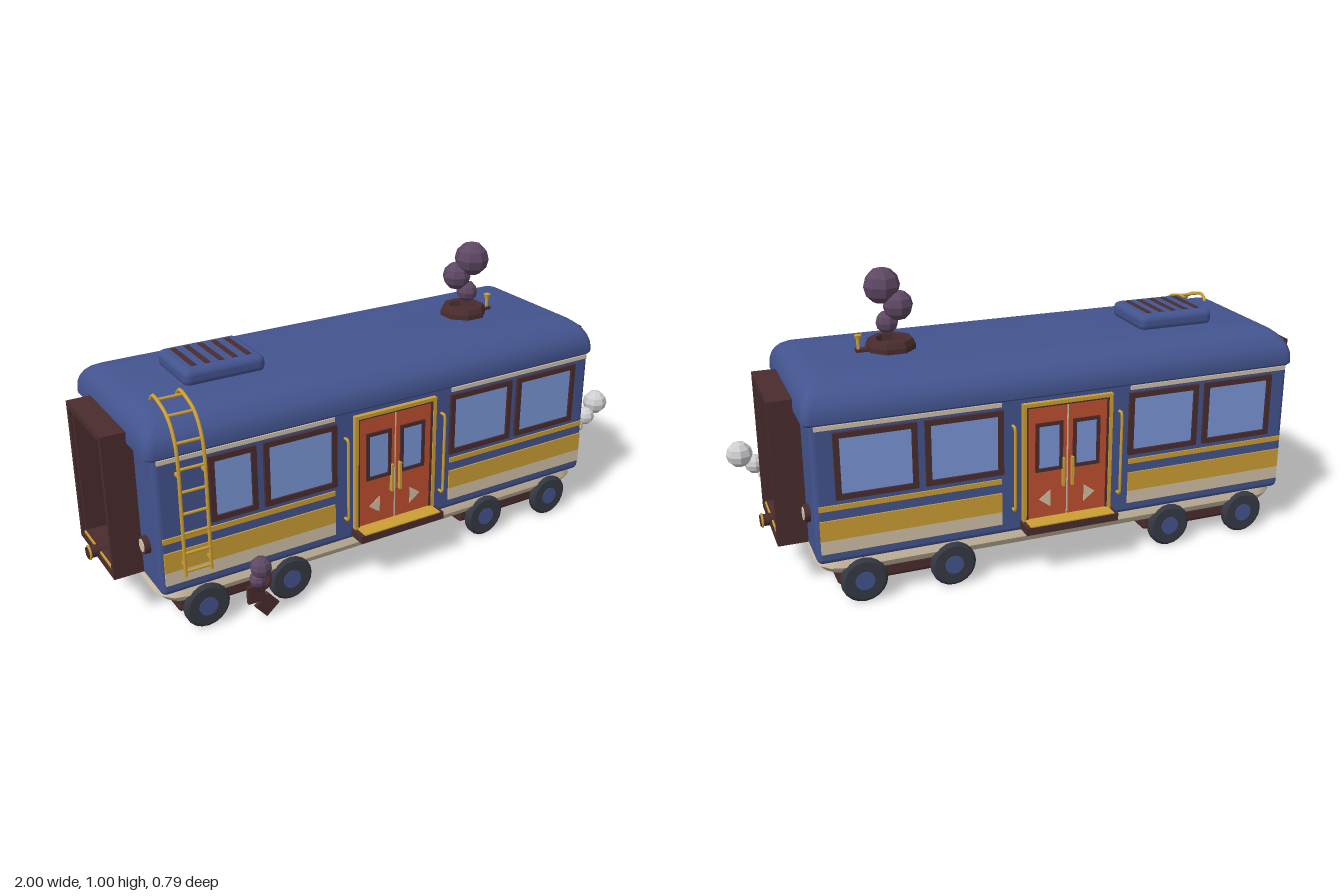
import * as THREE from 'three';
import { toCreasedNormals } from 'three/addons/utils/BufferGeometryUtils.js';
import { RoundedBoxGeometry } from 'three/addons/geometries/RoundedBoxGeometry.js';

const mat = (name, color, extra = {}) => {
  const m = new THREE.MeshStandardMaterial({ color, ...extra });
  m.name = name;
  return m;
};

export function createModel() {
  const blue = mat('blue paint', 0x43548f), brown = mat('dark brown', 0x4a2c2e);
  const gold = mat('gold', 0xcc9f35), cream = mat('cream', 0xd2c2a8);
  const red = mat('red door', 0xc04f30), glass = mat('window glass', 0x7b97d8);
  const tyre = mat('tyre grey', 0x363a44), purple = mat('purple smoke', 0x5e4864);
  const white = mat('white steam', 0xcfcfd2);

  const model = new THREE.Group();
  const car = new THREE.Group();
  car.name = 'railcar';
  car.position.set(-0.036, 0, -0.014);
  model.add(car);

  // ---- helpers ----
  const add = (parent, name, geo, m, x = 0, y = 0, z = 0) => {
    const mesh = new THREE.Mesh(geo, m);
    mesh.name = name;
    mesh.position.set(x, y, z);
    parent.add(mesh);
    return mesh;
  };
  const box = (p, name, m, x, y, z, w, h, d) => add(p, name, new THREE.BoxGeometry(w, h, d), m, x, y, z);
  // box given by its x and y ranges, centred at z
  const plate = (p, name, m, x0, x1, y0, y1, z, d) =>
    box(p, name, m, (x0 + x1) / 2, (y0 + y1) / 2, z, Math.abs(x1 - x0), y1 - y0, d);
  const tube = (p, name, m, pts, r, smooth = true) => {
    const v = pts.map(a => new THREE.Vector3(...a));
    const curve = new THREE.CatmullRomCurve3(v, false, 'catmullrom', smooth ? 0.5 : 0.05);
    return add(p, name, new THREE.TubeGeometry(curve, pts.length * 5, r, 8), m);
  };
  // rectangular frame facing +z, its back at z
  const frame = (p, name, m, x0, x1, y0, y1, z, t, d) => {
    const rect = (S, a, b, c, e) => {
      const s = new S();
      s.moveTo(a, c); s.lineTo(b, c); s.lineTo(b, e); s.lineTo(a, e); s.closePath();
      return s;
    };
    const s = rect(THREE.Shape, x0, x1, y0, y1);
    s.holes.push(rect(THREE.Path, x0 + t, x1 - t, y0 + t, y1 - t));
    return add(p, name, new THREE.ExtrudeGeometry(s, { depth: d, bevelEnabled: false }), m, 0, 0, z);
  };
  // stacked rounded rectangles: layers of [y, halfX, halfZ, cornerRadius]
  const loft = (layers, seg) => {
    const pos = [], idx = [], n = 4 * (seg + 1);
    for (const [y, hx, hz, r] of layers)
      for (let q = 0; q < 4; q++)
        for (let k = 0; k <= seg; k++) {
          const a = (q + k / seg) * Math.PI / 2;
          const sx = q === 0 || q === 3 ? 1 : -1, sz = q < 2 ? 1 : -1;
          pos.push(sx * (hx - r) + r * Math.cos(a), y, sz * (hz - r) + r * Math.sin(a));
        }
    const L = layers.length, bottom = L * n, top = bottom + 1;
    pos.push(0, layers[0][0], 0, 0, layers[L - 1][0], 0);
    for (let i = 0; i < n; i++) {
      const j = (i + 1) % n;
      for (let l = 0; l < L - 1; l++) {
        const a = l * n + i, b = l * n + j;
        idx.push(a, a + n, b, b, a + n, b + n);
      }
      idx.push(bottom, i, j, top, (L - 1) * n + j, (L - 1) * n + i);
    }
    const g = new THREE.BufferGeometry();
    g.setAttribute('position', new THREE.Float32BufferAttribute(pos, 3));
    g.setIndex(idx);
    return toCreasedNormals(g, 0.6);
  };
  const puff = (p, name, m, x, y, z, r) => {
    const g = new THREE.SphereGeometry(r, 8, 6).toNonIndexed();
    g.computeVertexNormals();
    return add(p, name, g, m, x, y, z);
  };

  // ---- body, roof, chassis ----
  add(car, 'body', new RoundedBoxGeometry(1.67, 0.51, 0.624, 3, 0.02), blue, 0, 0.405, 0);
  const roofLayers = [[0.61, 0.845, 0.308, 0.03], [0.62, 0.855, 0.316, 0.03]];
  for (let i = 0; i <= 7; i++) {
    const a = i / 7 * Math.PI / 2, c = 1 - Math.cos(a);
    roofLayers.push([0.635 + 0.1 * Math.sin(a), 0.855 - 0.08 * c, 0.316 - 0.13 * c, 0.03]);
  }
  add(car, 'roof', loft(roofLayers, 4), blue);
  add(car, 'chassis', loft([[0.092, 0.78, 0.265, 0.06], [0.105, 0.81, 0.295, 0.07],
    [0.13, 0.833, 0.311, 0.08], [0.155, 0.825, 0.305, 0.07]], 3), cream);

  // ---- bogies and wheels ----
  const tyreShape = [[0.03, -0.016], [0.066, -0.016], [0.076, -0.008], [0.076, 0.008], [0.066, 0.016], [0.03, 0.016]]
    .map(a => new THREE.Vector2(...a));
  for (const s of [-1, 1]) {
    add(car, 'bogie', new RoundedBoxGeometry(0.45, 0.055, 0.535, 2, 0.015), brown, s * 0.543, 0.072, 0);
    for (const x of [0.395, 0.691]) for (const z of [-1, 1]) {
      const w = new THREE.Group();
      w.name = 'wheel';
      w.position.set(s * x, 0.077, z * 0.305);
      w.rotation.x = Math.PI / 2;
      car.add(w);
      add(w, 'tyre', toCreasedNormals(new THREE.LatheGeometry(tyreShape, 20), 0.5), tyre);
      add(w, 'hub', new THREE.CylinderGeometry(0.032, 0.032, 0.036, 16), blue);
    }
  }

  // ---- long sides: bands, windows, doors, step, handrails ----
  const wall = 0.312;
  const sideOf = front => {
    const g = new THREE.Group();
    g.name = front ? 'frontSide' : 'backSide';
    if (!front) g.rotation.y = Math.PI;
    car.add(g);
    const windowUnit = (x0, x1) => {
      frame(g, 'windowFrame', brown, x0, x1, 0.37, 0.59, wall - 0.005, 0.018, 0.016);
      plate(g, 'windowPane', glass, x0 + 0.015, x1 - 0.015, 0.385, 0.575, wall, 0.008);
    };
    for (const s of [-1, 1]) {
      for (const [m, y0, y1] of [[cream, 0.6, 0.614], [gold, 0.335, 0.352], [gold, 0.235, 0.302], [cream, 0.19, 0.235]])
        plate(g, 'band', m, s * 0.227, s * 0.822, y0, y1, wall, 0.01);
      const [a, b] = s > 0 ? [0.222, 0.48] : [-0.48, -0.222];
      windowUnit(a, b);
      if (s > 0) windowUnit(0.505, 0.767);
      else windowUnit(front ? -0.663 : -0.767, -0.505);

      // door leaf
      plate(g, 'doorLeaf', red, s * 0.003, s * 0.141, 0.19, 0.585, wall + 0.002, 0.012);
      const [d0, d1] = s > 0 ? [0.018, 0.114] : [-0.114, -0.018];
      frame(g, 'doorWindowFrame', brown, d0, d1, 0.36, 0.53, wall, 0.012, 0.014);
      plate(g, 'doorWindow', glass, d0 + 0.01, d1 - 0.01, 0.37, 0.52, wall + 0.006, 0.008);
      box(g, 'doorHandle', gold, s * 0.016, 0.35, wall + 0.014, 0.008, 0.1, 0.014);
      const tri = new THREE.Shape([[0.06, 0.23], [0.1, 0.26], [0.06, 0.29]].map(([x, y]) => new THREE.Vector2(s * x, y)));
      add(g, 'doorArrow', new THREE.ExtrudeGeometry(tri, { depth: 0.003, bevelEnabled: false }), cream, 0, 0, wall + 0.007);

      // handrail beside the door
      const x = s * 0.188;
      tube(g, 'handrail', gold, [[x, 0.24, wall - 0.01], [x, 0.24, wall + 0.022], [x, 0.385, wall + 0.022],
        [x, 0.53, wall + 0.022], [x, 0.53, wall - 0.01]], 0.005, false);
    }
    plate(g, 'doorSeam', cream, -0.003, 0.003, 0.2, 0.58, wall + 0.002, 0.01);
    frame(g, 'doorGoldFrame', gold, -0.158, 0.158, 0.175, 0.602, wall - 0.004, 0.012, 0.02);
    frame(g, 'doorInnerFrame', brown, -0.147, 0.147, 0.185, 0.592, wall - 0.004, 0.008, 0.016);
    box(g, 'step', brown, 0, 0.178, wall + 0.03, 0.328, 0.026, 0.072);
    box(g, 'stepTread', gold, 0, 0.192, wall + 0.032, 0.3, 0.006, 0.066);
  };
  sideOf(true);
  sideOf(false);

  // ---- ends: gangway, double door, coupler, lamps (built facing +z, then turned) ----
  const ringGeo = new THREE.TorusGeometry(0.021, 0.004, 8, 20);
  for (const s of [-1, 1]) {
    const g = new THREE.Group();
    g.name = 'carEnd';
    g.rotation.y = s * Math.PI / 2;
    car.add(g);
    const e = 0.835;
    frame(g, 'gangwayOuter', brown, -0.16, 0.16, 0.165, 0.655, e - 0.01, 0.02, 0.108);
    frame(g, 'gangwayInner', brown, -0.148, 0.148, 0.177, 0.643, e - 0.01, 0.02, 0.098);
    frame(g, 'endDoorFrame', brown, -0.12, 0.12, 0.19, 0.615, e - 0.005, 0.015, 0.025);
    for (const k of [-1, 1]) {
      const [a, b] = k > 0 ? [0.002, 0.108] : [-0.108, -0.002];
      frame(g, 'endDoorLeaf', brown, a, b, 0.218, 0.602, e - 0.005, 0.012, 0.018);
      plate(g, 'endDoorPane', glass, a + 0.01, b - 0.01, 0.228, 0.592, e + 0.002, 0.008);
      plate(g, 'endDoorKick', brown, a, b, 0.19, 0.232, e + 0.002, 0.018);
      const lamp = add(g, 'lampRing', new THREE.CylinderGeometry(0.029, 0.029, 0.024, 16), brown, k * 0.217, 0.295, e + 0.006);
      const lens = add(g, 'lampLens', new THREE.CylinderGeometry(0.021, 0.021, 0.028, 16), cream, k * 0.217, 0.295, e + 0.007);
      lamp.rotation.x = lens.rotation.x = Math.PI / 2;
    }
    box(g, 'gangwayFloor', gold, 0, 0.189, e + 0.045, 0.27, 0.008, 0.096);
    const c = add(g, 'coupler', new THREE.CylinderGeometry(0.02, 0.02, 0.07, 16), brown, 0, 0.189, e + 0.094);
    c.rotation.x = Math.PI / 2;
    add(g, 'couplerRing', ringGeo, gold, 0, 0.189, e + 0.123);
  }

  // ---- ladder hooked over the roof ----
  const lx = [-0.764, -0.679];
  for (const x of lx)
    tube(car, 'ladderRail', gold, [[x, 0.22, 0.334], [x, 0.42, 0.334], [x, 0.6, 0.334], [x, 0.68, 0.316],
      [x, 0.73, 0.275], [x, 0.752, 0.215], [x, 0.757, 0.17], [x, 0.735, 0.148]], 0.006);
  for (const [y, z] of [[0.235, 0.334], [0.297, 0.334], [0.365, 0.334], [0.432, 0.334], [0.505, 0.334],
    [0.58, 0.334], [0.66, 0.322], [0.73, 0.275], [0.754, 0.2]]) {
    const r = add(car, 'ladderRung', new THREE.CylinderGeometry(0.005, 0.005, 0.085, 8), gold, -0.7215, y, z);
    r.rotation.z = Math.PI / 2;
  }
  for (const x of lx) for (const y of [0.26, 0.56]) box(car, 'ladderBracket', gold, x, y, 0.32, 0.01, 0.01, 0.026);

  // ---- roof vent, chimney and whistle ----
  add(car, 'roofVent', new RoundedBoxGeometry(0.28, 0.06, 0.236, 3, 0.024), blue, -0.498, 0.756, -0.002);
  for (let i = 0; i < 5; i++)
    box(car, 'ventSlat', brown, -0.592 + i * 0.047, 0.785, -0.002, 0.018, 0.006, 0.17);
  const chimney = [[0, 0.73], [0.083, 0.73], [0.083, 0.752], [0.074, 0.77], [0.05, 0.77], [0.045, 0.75], [0, 0.75]]
    .map(a => new THREE.Vector2(...a));
  add(car, 'chimney', toCreasedNormals(new THREE.LatheGeometry(chimney, 8), 0.3), brown, 0.498, 0, -0.002)
    .rotation.y = Math.PI / 8;
  box(car, 'whistleBase', brown, 0.59, 0.738, -0.002, 0.05, 0.012, 0.03);
  add(car, 'whistle', new THREE.CylinderGeometry(0.006, 0.006, 0.06, 8), gold, 0.606, 0.76, -0.002);
  add(car, 'whistleCap', new THREE.CylinderGeometry(0.013, 0.01, 0.012, 10), gold, 0.606, 0.785, -0.002);
  for (const p of [[0.505, 0.822, 0.008, 0.038], [0.471, 0.88, -0.011, 0.05], [0.516, 0.943, 0.014, 0.061]])
    puff(car, 'chimneySmoke', purple, ...p);

  // ---- steam pipe on the +x end ----
  tube(car, 'steamPipe', brown, [[0.83, 0.25, 0.124], [0.865, 0.205, 0.14], [0.885, 0.195, 0.175], [0.9, 0.245, 0.207]], 0.01);
  tube(car, 'pipeLever', brown, [[0.885, 0.21, 0.145], [0.9, 0.165, 0.152], [0.908, 0.125, 0.151]], 0.007);
  add(car, 'pipeValve', new THREE.CylinderGeometry(0.012, 0.012, 0.03, 10), gold, 0.85, 0.297, 0.172);
  for (const p of [[0.908, 0.268, 0.205, 0.027], [0.942, 0.305, 0.213, 0.034], [0.991, 0.35, 0.207, 0.045]])
    puff(car, 'steam', white, ...p);

  // ---- exhaust by the front wheels ----
  box(car, 'exhaustPlate', brown, -0.545, 0.097, 0.36, 0.06, 0.06, 0.014);
  box(car, 'exhaustFlap', brown, -0.509, 0.045, 0.36, 0.06, 0.06, 0.014).rotation.z = 0.7;
  tube(car, 'exhaustPipe', brown, [[-0.47, 0.11, 0.3], [-0.5, 0.11, 0.352], [-0.54, 0.11, 0.36], [-0.542, 0.15, 0.365]], 0.009);
  puff(car, 'exhaustSmoke', purple, -0.542, 0.155, 0.372, 0.028);
  puff(car, 'exhaustSmoke', purple, -0.533, 0.2, 0.378, 0.036);

  return model;
}
